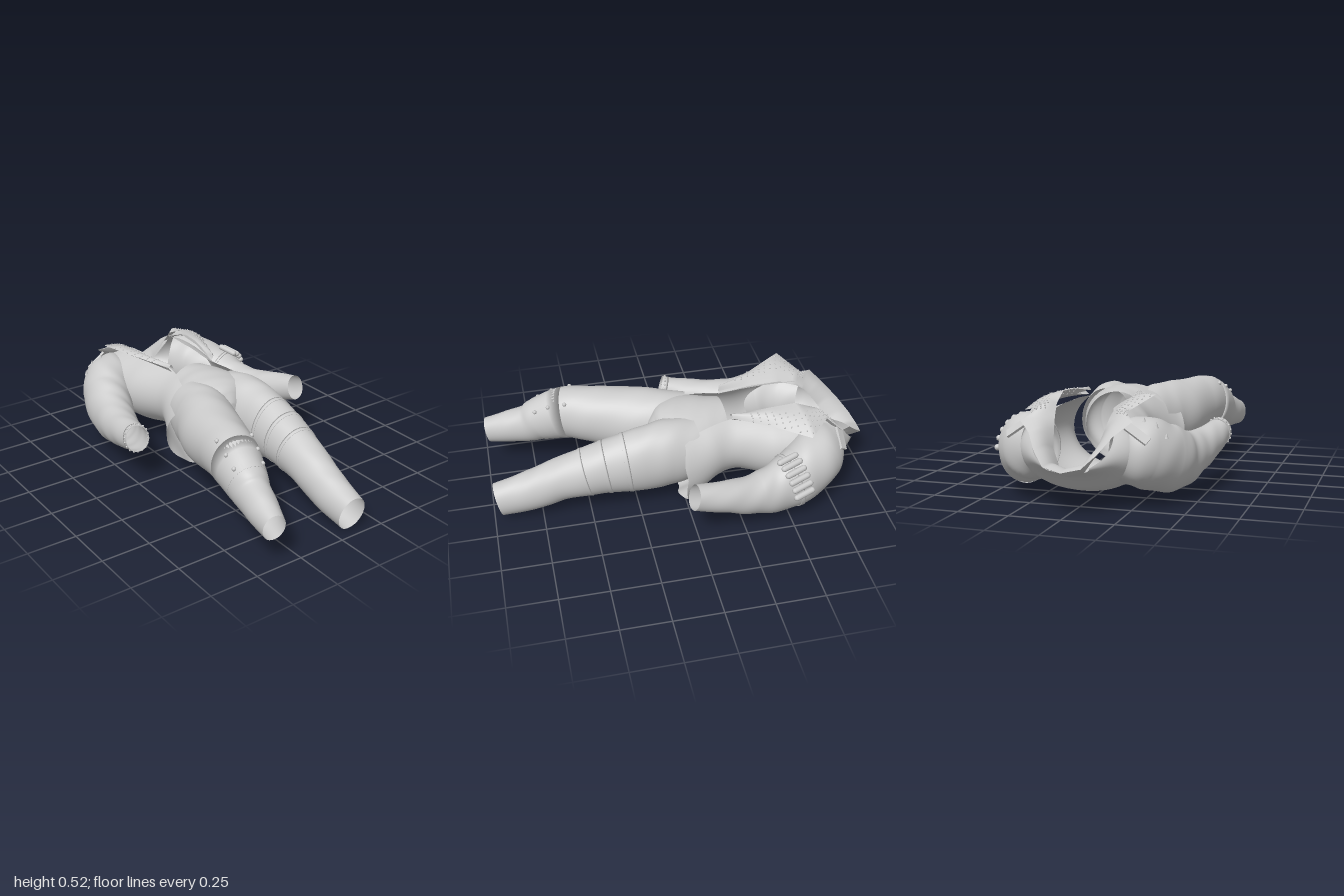
import * as THREE from 'three';
import { ParametricGeometry } from 'three/addons/geometries/ParametricGeometry.js';

const mat = new THREE.MeshStandardMaterial({ color: 0xcccccc, side: THREE.DoubleSide });
const TAU = Math.PI * 2;
const Y = new THREE.Vector3(0, 1, 0);

function add(parent, geometry, name) {
  const mesh = new THREE.Mesh(geometry, mat);
  mesh.name = name;
  parent.add(mesh);
  return mesh;
}

// Sleeve surface from sections [x, y, z, height radius, width radius, front gap]; angle 0 points up
function sleeve(sections, wrinkle = 0.012) {
  const path = new THREE.CatmullRomCurve3(sections.map(s => new THREE.Vector3(s[0], s[1], s[2])));
  const size = new THREE.CatmullRomCurve3(sections.map(s => new THREE.Vector3(s[3], s[4], s[5] || 0)));
  const tangent = t => path.getTangent(t);
  const at = (t, a, k = 1) => {
    const c = path.getPoint(t), r = size.getPoint(t), dir = tangent(t);
    const side = new THREE.Vector3().crossVectors(dir, Y).normalize();
    const up = new THREE.Vector3().crossVectors(side, dir);
    const w = k + wrinkle * Math.sin(t * 34 + 3 * Math.sin(a)) * Math.sin(a * 2 + t * 5);
    return c.addScaledVector(up, r.x * Math.cos(a) * w).addScaledVector(side, r.y * Math.sin(a) * w);
  };
  const geometry = () => new ParametricGeometry((u, v, p) => {
    const g = size.getPoint(v).z;
    p.copy(at(v, g + (TAU - 2 * g) * u));
  }, 48, 60);
  return { at, tangent, geometry };
}

// Raised band with closed edges around a sleeve
function band(parent, s, t0, t1, k, name) {
  const prof = [[t0, 0.99], [t0, k], [t1, k], [t1, 0.99]];
  add(parent, new ParametricGeometry((u, v, p) => {
    const i = Math.min(2, Math.floor(v * 3)), f = v * 3 - i;
    const q = j => prof[i][j] + (prof[i + 1][j] - prof[i][j]) * f;
    p.copy(s.at(q(0), u * TAU, q(1)));
  }, 40, 9), name);
}

function stud(parent, p, r, name) {
  add(parent, new THREE.SphereGeometry(r, 8, 6), name).position.copy(p);
}

export function createModel() {
  const model = new THREE.Group();

  // Trousers
  const trousers = new THREE.Group();
  trousers.name = 'trousers';
  model.add(trousers);
  const pelvis = sleeve([
    [-0.23, 0.3, 0.015, 0.175, 0.165], [-0.12, 0.3, 0.01, 0.188, 0.205], [-0.01, 0.3, 0.015, 0.188, 0.245],
    [0.07, 0.297, 0.02, 0.178, 0.2], [0.12, 0.295, 0.02, 0.15, 0.12], [0.155, 0.295, 0.02, 0.1, 0.05],
    [0.165, 0.295, 0.02, 0.002, 0.002]], 0.006);
  add(trousers, pelvis.geometry(), 'trouserSeat');
  const rightLeg = sleeve([
    [-0.06, 0.3, -0.095, 0.165, 0.135], [0.08, 0.295, -0.115, 0.188, 0.14], [0.22, 0.28, -0.125, 0.182, 0.13],
    [0.45, 0.25, -0.118, 0.142, 0.116], [0.65, 0.2, -0.1, 0.116, 0.1], [0.8, 0.145, -0.09, 0.11, 0.09],
    [0.97, 0.106, -0.08, 0.094, 0.074]]);
  const leftLeg = sleeve([
    [-0.06, 0.3, 0.12, 0.165, 0.135], [0.08, 0.297, 0.15, 0.187, 0.152], [0.22, 0.305, 0.2, 0.18, 0.155],
    [0.42, 0.325, 0.258, 0.156, 0.135], [0.56, 0.327, 0.3, 0.145, 0.122], [0.7, 0.28, 0.333, 0.122, 0.1],
    [0.76, 0.255, 0.345, 0.106, 0.086], [0.87, 0.23, 0.37, 0.09, 0.074], [0.98, 0.208, 0.395, 0.072, 0.056]]);
  add(trousers, rightLeg.geometry(), 'rightTrouserLeg');
  add(trousers, leftLeg.geometry(), 'leftTrouserLeg');
  for (const t of [0.39, 0.465, 0.545]) band(trousers, rightLeg, t, t + 0.014, 1.018, 'thighStrap');
  band(trousers, leftLeg, 0.5, 0.63, 1.012, 'kneePad');
  for (const a of [-0.75, 0.75])
    for (const t of [0.48, 0.54, 0.6]) stud(trousers, leftLeg.at(t, a, 1.02), 0.011, 'kneeStud');

  // Jacket body, open down the front, with a flared ragged hem longer at the back
  const jacket = new THREE.Group();
  jacket.name = 'jacket';
  model.add(jacket);
  const body = sleeve([
    [-0.93, 0.225, 0, 0.03, 0.11, 1.4], [-0.86, 0.25, 0, 0.1, 0.21, 1.05], [-0.77, 0.265, 0, 0.18, 0.29, 0.65],
    [-0.64, 0.27, 0, 0.208, 0.31, 0.44], [-0.45, 0.28, 0, 0.208, 0.28, 0.46], [-0.27, 0.295, 0, 0.19, 0.225, 0.55],
    [-0.14, 0.285, 0, 0.205, 0.25, 0.68], [0.0, 0.25, 0, 0.235, 0.315, 0.8]], 0.008);
  const bodyGeometry = body.geometry();
  const pos = bodyGeometry.attributes.position;
  for (let i = 0; i < pos.count; i++) {
    const x = pos.getX(i), y = pos.getY(i), z = pos.getZ(i);
    const f = Math.max(0, (x + 0.2) / 0.2), low = Math.max(0, (0.25 - y) / 0.25);
    pos.setXYZ(i,
      x + f * (0.125 * low + 0.018 * Math.sin(z * 34)),
      Math.max(0.003, y - f * low * (0.014 - 0.018 * Math.sin(z * 34))),
      z * (1 + 0.25 * f * low));
  }
  bodyGeometry.computeVertexNormals();
  add(jacket, bodyGeometry, 'jacketBody');

  // Collar and lapels: one strip from the right lapel round the neck to the left;
  // the right lapel lies folded down, the left one stands up
  const neck = [[-0.86, 0.19, 0], [-0.85, 0.21, 0.06], [-0.81, 0.29, 0.105], [-0.76, 0.36, 0.12], [-0.72, 0.41, 0.13],
    [-0.68, 0.44, 0.135], [-0.58, 0.465, 0.14], [-0.42, 0.47, 0.14], [-0.24, 0.468, 0.12]];
  const outer = [[-1, 0.215, 0], [-0.985, 0.235, 0.09], [-0.935, 0.295, 0.15], [-0.87, 0.365, 0.2], [-0.8, 0.425, 0.27],
    [-0.73, 0.455, 0.22], [-0.62, 0.525, 0.325], [-0.44, 0.495, 0.23], [-0.25, 0.475, 0.145]];
  const rightLift = { neck: [0, 0, 0, 0, 0.01, 0.035, 0.055, 0.04, 0.01], outer: [0, 0, 0, 0, -0.02, 0, -0.1, -0.04, 0] };
  const edge = (list, lift) => [
    ...list.map(([x, y, z], i) => [x, y + lift[i], -z]).slice(1).reverse(), ...list];
  const inEdge = edge(neck, rightLift.neck), outEdge = edge(outer, rightLift.outer);
  const collarAt = (u, v, p) => {
    const s = u * (inEdge.length - 1), i = Math.min(inEdge.length - 2, Math.floor(s)), f = s - i;
    const mix = e => new THREE.Vector3(...e[i]).lerp(new THREE.Vector3(...e[i + 1]), f);
    p.copy(mix(inEdge).lerp(mix(outEdge), v));
    p.y += 0.02 * Math.sin(v * Math.PI);
  };
  add(jacket, new ParametricGeometry(collarAt, 64, 8), 'collarAndLapels');
  add(jacket, new ParametricGeometry((u, v, p) => {
    // Underside, tucked back towards the neck
    collarAt(u, 1, p);
    const inner = new THREE.Vector3();
    collarAt(u, 0, inner);
    p.lerp(inner, v * 0.9);
    p.y -= 0.02 * Math.sin(v * Math.PI / 2);
  }, 64, 6), 'collarUnderside');
  const p = new THREE.Vector3();
  for (const side of [-1, 1])
    for (let i = 0; i < 16; i++)
      for (let j = 0; j < 4; j++) {
        collarAt(0.5 + side * (0.28 + 0.0125 * i), 0.38 + 0.16 * j + 0.07 * (i % 2), p);
        stud(jacket, p, 0.0045, 'lapelStud');
      }

  // Sleeves with shoulder tabs
  for (const s of [-1, 1]) {
    const right = s < 0, label = right ? 'right' : 'left';
    const lift = right ? 0.03 : 0, reach = right ? 0.03 : 0;
    const arm = sleeve([
      [-0.75, 0.28, s * 0.19, 0.135, 0.1], [-0.67, 0.265, s * 0.27, 0.165, 0.145], [-0.56, 0.222, s * 0.345, 0.164, 0.135],
      [-0.43, 0.195, s * 0.39, 0.143, 0.112], [-0.3, 0.203, s * 0.428, 0.108, 0.095],
      [-0.15, 0.23 + lift * 0.5, s * 0.468, 0.085, 0.077], [reach, 0.267 + lift, s * 0.5, 0.067, 0.06]], 0.022);
    add(jacket, arm.geometry(), label + 'Sleeve');
    const tab = add(jacket, new THREE.BoxGeometry(0.045, 0.012, 0.12), label + 'ShoulderTab');
    tab.position.set(-0.79, 0.37, s * 0.29);
    tab.rotation.set(s * 0.6, 0, 0.7);

    // Studded cuff and shoulder spikes on the left
    if (!right) {
      band(jacket, arm, 0.965, 1, 1.04, 'cuff');
      for (let i = 0; i < 18; i++) stud(jacket, arm.at(0.985, i / 18 * TAU, 1.05), 0.006, 'cuffStud');
      for (let i = 0; i < 3; i++)
        add(jacket, new THREE.ConeGeometry(0.01, 0.03, 8), 'shoulderSpike')
          .position.copy(arm.at(0.12 + 0.04 * i, 0.35 + 0.3 * i, 1.04));
    }

    // Row of cartridges strapped to the right upper arm
    if (right) {
      band(jacket, arm, 0.405, 0.425, 1.03, 'cartridgeStrap');
      for (let i = 0; i < 6; i++) {
        const shell = add(jacket, new THREE.CapsuleGeometry(0.016, 0.09, 4, 10), 'cartridge');
        shell.position.copy(arm.at(0.415, -0.15 - i * 0.27, 1.1));
        shell.quaternion.setFromUnitVectors(Y, arm.tangent(0.44));
      }
    }
  }
  return model;
}
